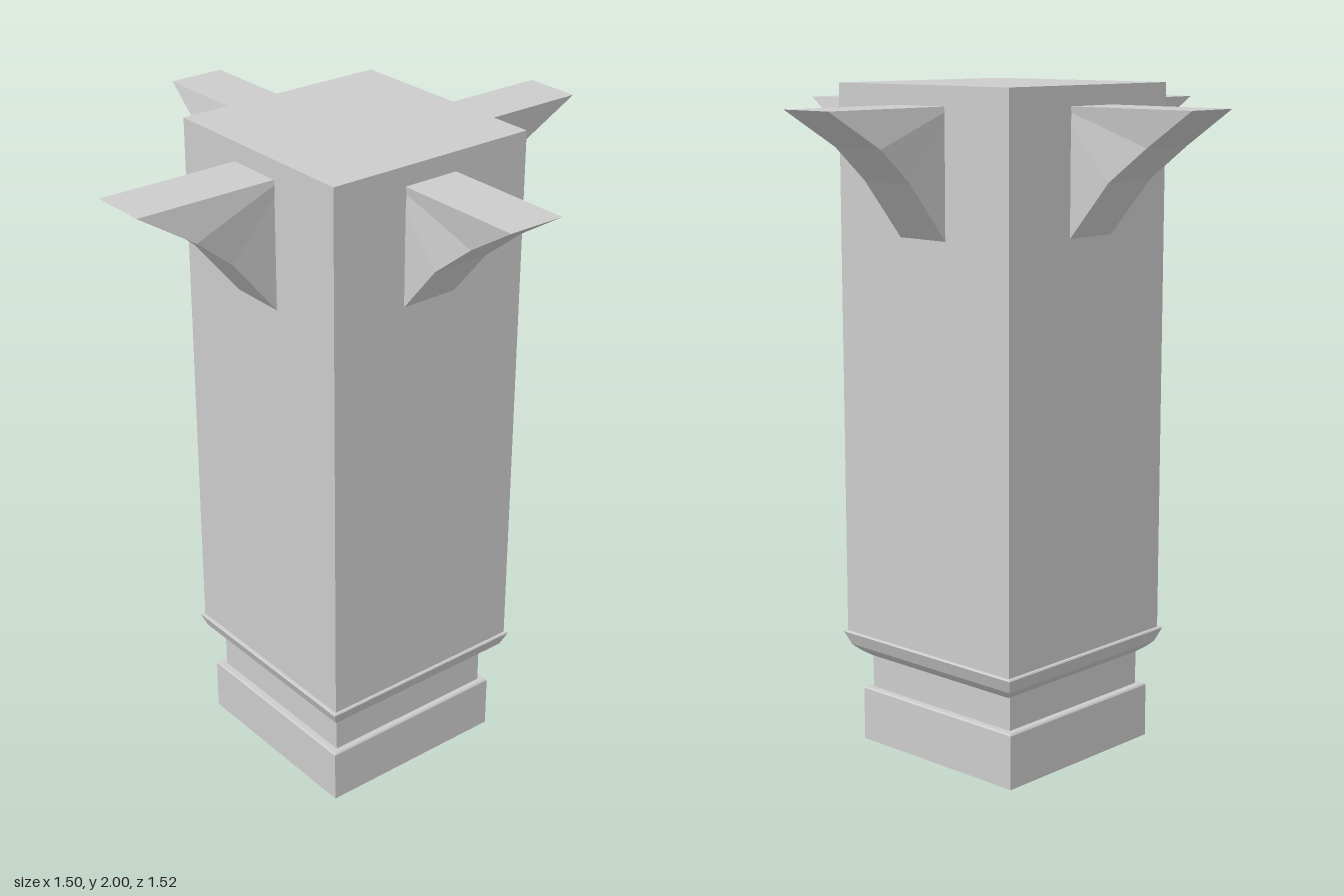
import * as THREE from 'three';

const stone = new THREE.MeshStandardMaterial({ color: 0xcccccc, flatShading: true });

// Square solid turned from a [halfWidth, y] profile, listed from bottom to top
function squareTurned(name, profile, x, z) {
  const points = profile.map(([half, y]) => new THREE.Vector2(half * Math.SQRT2, y));
  const mesh = new THREE.Mesh(new THREE.LatheGeometry(points, 4, Math.PI / 4), stone);
  mesh.name = name;
  mesh.position.set(x, 0, z);
  return mesh;
}

// Bracket pointing along +z, its underside curved and slightly twisted sideways
function bracketGeometry() {
  // distance back from the tip, y, left edge, right edge
  const underside = [
    [0, 1.943, -0.09, 0.085],
    [0.165, 1.838, -0.072, 0.106],
    [0.285, 1.74, -0.086, 0.094],
    [0.43, 1.565, -0.09, 0.088],
    [0.47, 1.515, -0.09, 0.088],
  ];
  const rows = [...underside, [0.47, 1.943, -0.09, 0.086]];
  const vertices = rows.flatMap(([back, y, left, right]) => [left, y, -back, right, y, -back]);
  const n = rows.length;
  const index = [];
  for (let i = 0; i < n; i++) {
    const a = 2 * i, b = 2 * ((i + 1) % n);
    index.push(a, b, a + 1, a + 1, b, b + 1);
  }
  // side cheeks fan out from the inner top corner
  const c = 2 * (n - 1);
  for (let i = 0; i < n - 2; i++) {
    const a = 2 * i, b = a + 2;
    index.push(c, b, a, c + 1, a + 1, b + 1);
  }
  const geometry = new THREE.BufferGeometry();
  geometry.setAttribute('position', new THREE.Float32BufferAttribute(vertices, 3));
  geometry.setIndex(index);
  geometry.computeVertexNormals();
  return geometry;
}

export function createModel() {
  const model = new THREE.Group();
  model.name = 'post';

  // Stepped foot
  model.add(squareTurned('plinth', [[0, 0], [0.307, 0], [0.307, 0.163], [0.303, 0.168], [0, 0.168]], 0.003, 0.003));
  model.add(squareTurned('neck', [[0.285, 0.16], [0.285, 0.28]], 0.005, 0.003));
  model.add(squareTurned('moulding', [
    [0.27, 0.27], [0.285, 0.27], [0.31, 0.288], [0.328, 0.306], [0.345, 0.347], [0.342, 0.351], [0.3, 0.351],
  ], 0.004, -0.004));

  // Main shaft
  const shaft = new THREE.Mesh(new THREE.BoxGeometry(0.67, 1.66, 0.67), stone);
  shaft.name = 'shaft';
  shaft.position.set(0.005, 1.17, -0.005);
  model.add(shaft);

  // Four brackets near the top, one per side
  const geometry = bracketGeometry();
  const reach = { frontBracket: 0.76, leftBracket: 0.745, backBracket: 0.765, rightBracket: 0.75 };
  Object.entries(reach).forEach(([name, distance], i) => {
    const angle = i * Math.PI / 2;
    const bracket = new THREE.Mesh(geometry, stone);
    bracket.name = name;
    bracket.rotation.y = angle;
    bracket.position.set(Math.sin(angle) * distance, 0, Math.cos(angle) * distance);
    model.add(bracket);
  });
  return model;
}
